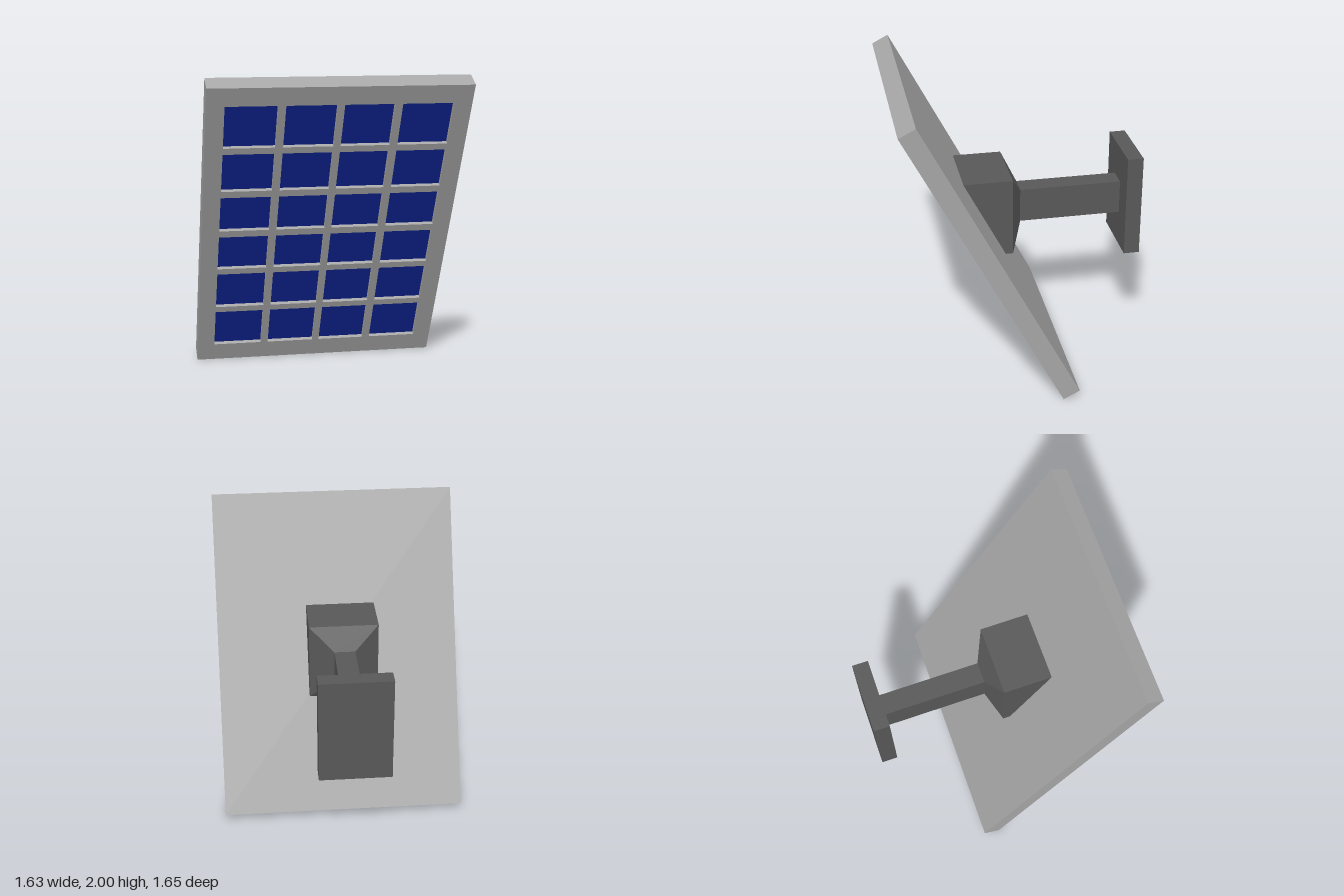
import * as THREE from 'three';

export function createModel() {
  const model = new THREE.Group();
  const mat = (name, color) => Object.assign(new THREE.MeshStandardMaterial({ color }), { name });
  const panelGrey = mat('panelGrey', 0xa6a6a6);
  const mountGrey = mat('mountGrey', 0x585858);
  const cellBlue = mat('cellBlue', 0x0e2290);

  const add = (parent, name, geometry, material, x = 0, y = 0, z = 0) => {
    const mesh = new THREE.Mesh(geometry, material);
    mesh.name = name;
    mesh.position.set(x, y, z);
    parent.add(mesh);
    return mesh;
  };

  // Tilted panel: local y runs up the slope, local z = 0 is its front face
  const tilt = 0.476, slope = Math.cos(tilt);
  const width = 1.63, height = 2.19, thickness = 0.12, recess = 0.03;
  const panel = new THREE.Group();
  panel.name = 'solarPanel';
  panel.position.set(0, 0, -0.175);
  panel.rotation.x = tilt;
  model.add(panel);

  // Front frame with a window for every cell
  const columns = [[-0.703, -0.383], [-0.335, -0.022], [0.022, 0.332], [0.38, 0.7]];
  const rows = [[0.122, 0.386], [0.426, 0.68], [0.72, 0.956], [1.0, 1.235], [1.278, 1.527], [1.567, 1.833]];
  const rect = (Type, x0, x1, y0, y1) => new Type([
    new THREE.Vector2(x0, y0), new THREE.Vector2(x1, y0),
    new THREE.Vector2(x1, y1), new THREE.Vector2(x0, y1),
  ]);
  const frame = rect(THREE.Shape, -width / 2, width / 2, 0, height);
  for (const [x0, x1] of columns) {
    for (const row of rows) {
      const [y0, y1] = row.map((y) => y / slope);
      frame.holes.push(rect(THREE.Path, x0, x1, y0, y1));
      // Thin cell on the floor of its window
      add(panel, 'solarCell', new THREE.BoxGeometry(x1 - x0, y1 - y0, 0.004), cellBlue,
        (x0 + x1) / 2, (y0 + y1) / 2, -recess + 0.002);
    }
  }
  add(panel, 'panelFrame', new THREE.ExtrudeGeometry(frame, { depth: recess, bevelEnabled: false }),
    panelGrey, 0, 0, -recess);
  add(panel, 'panelBacking', new THREE.BoxGeometry(width, height, thickness - recess), panelGrey,
    0, height / 2, -(thickness + recess) / 2);

  // Wall mount
  const mount = new THREE.Group();
  mount.name = 'wallMount';
  mount.position.set(-0.026, 1.05, 0);
  model.add(mount);

  // Box whose front and back ends have their own size; frontZ may vary with height
  const loft = (name, [fw, fh], [bw, bh], frontZ, backZ) => {
    const g = new THREE.BoxGeometry(1, 1, 1).toNonIndexed();
    const p = g.attributes.position;
    for (let i = 0; i < p.count; i++) {
      const front = p.getZ(i) > 0;
      const y = p.getY(i) * (front ? fh : bh);
      p.setXYZ(i, p.getX(i) * (front ? fw : bw), y, front ? frontZ(y) : backZ);
    }
    g.computeVertexNormals();
    add(mount, name, g, mountGrey);
  };
  const big = [0.465, 0.533], small = [0.14, 0.23];
  loft('panelBracket', big, big, (y) => 0.235 + y * 0.515, 0.045);
  loft('bracketTaper', big, small, () => 0.045, -0.035);
  loft('arm', small, small, () => -0.035, -0.72);
  loft('wallPlate', [0.465, 0.7], [0.465, 0.7], () => -0.72, -0.826);

  return model;
}
